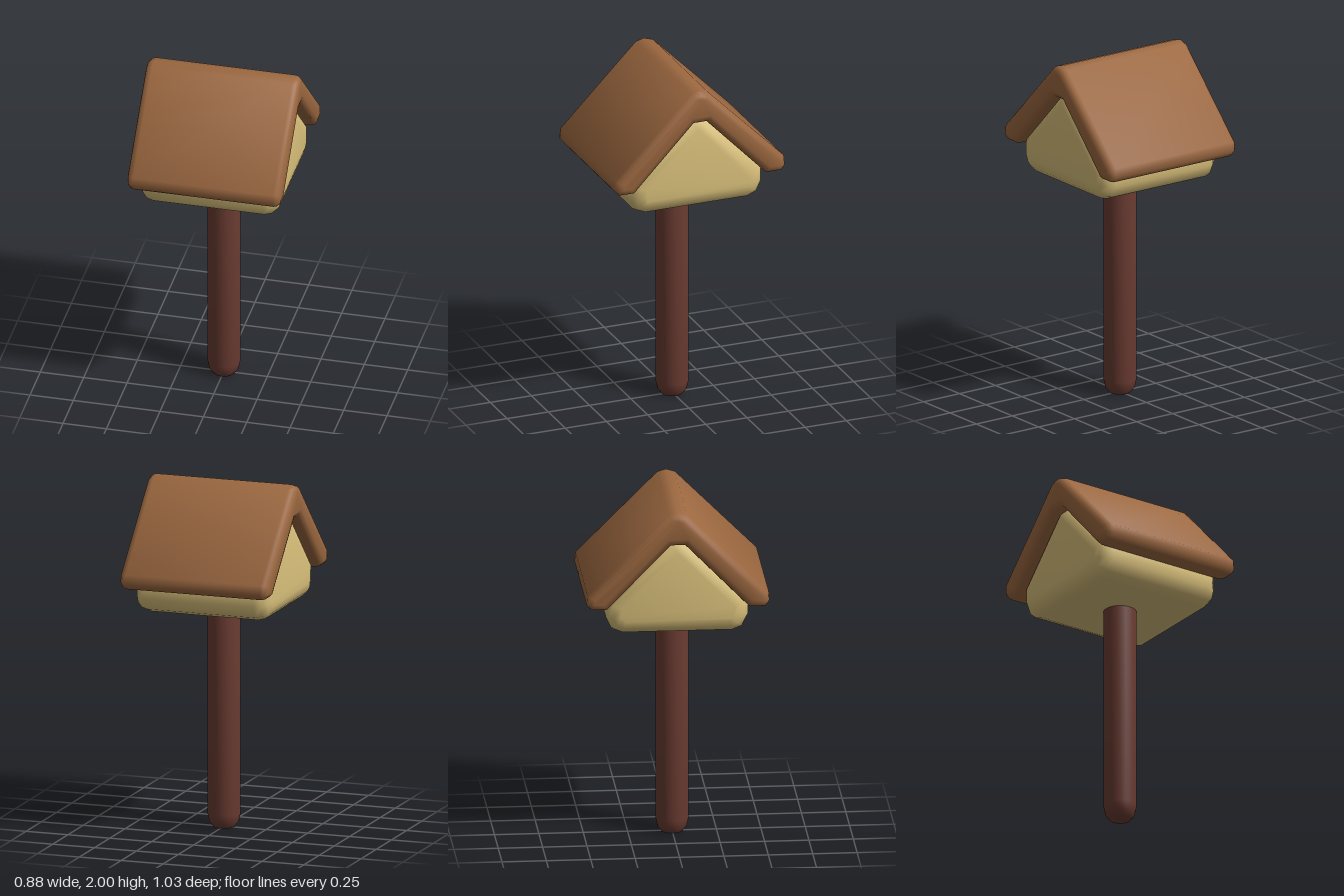
import * as THREE from 'three';
import { toCreasedNormals } from 'three/addons/utils/BufferGeometryUtils.js';

// Prism along x, from a mirrored half profile of [z, y] points, with rounded end edges
function bevelledPrism(half, width, bevel) {
  const mirrored = half.filter(([z]) => z > 0).reverse().map(([z, y]) => [-z, y]);
  const points = [...half, ...mirrored].map(([z, y]) => new THREE.Vector2(z, y));
  const geometry = new THREE.ExtrudeGeometry(new THREE.Shape(points), {
    depth: width - 2 * bevel,
    bevelThickness: bevel,
    bevelSize: bevel,
    bevelOffset: -bevel,
    bevelSegments: 3,
  });
  geometry.translate(0, 0, bevel - width / 2);
  geometry.rotateY(Math.PI / 2);
  return toCreasedNormals(geometry, 0.95);
}

function part(name, geometry, color) {
  const mesh = new THREE.Mesh(geometry, new THREE.MeshStandardMaterial({ color }));
  mesh.name = name;
  return mesh;
}

export function createModel() {
  const group = new THREE.Group();
  group.name = 'birdhouse';

  // Round post with a softened foot, running up into the house
  const postProfile = [[0, 0], [0.06, 0], [0.083, 0.03], [0.094, 0.08], [0.094, 1.36], [0, 1.36]]
    .map(([r, y]) => new THREE.Vector2(r, y));
  const post = toCreasedNormals(new THREE.LatheGeometry(postProfile, 24), 0.95);
  group.add(part('post', post, 0x6b3c32));

  // House body with gabled ends and rounded lower edges
  const body = bevelledPrism([
    [0.31, 1.28], [0.37, 1.305], [0.4, 1.37], [0.4, 1.47], [0.04, 1.83],
  ], 0.8, 0.08);
  group.add(part('houseBody', body, 0xd8bf7a));

  // Gable roof: one thick folded slab with rounded ridge and eaves
  const mirror = ([z, y]) => [-z, y];
  const outer = [[0.4, 1.44], [0.49, 1.44], [0.515, 1.47], [0.51, 1.525], [0.05, 1.985]];
  const roofHalf = [[0.04, 1.81], ...outer, [0, 2]];
  const roof = bevelledPrism(roofHalf, 0.885, 0.04);
  group.add(part('roof', roof, 0x9c6840));

  return group;
}
